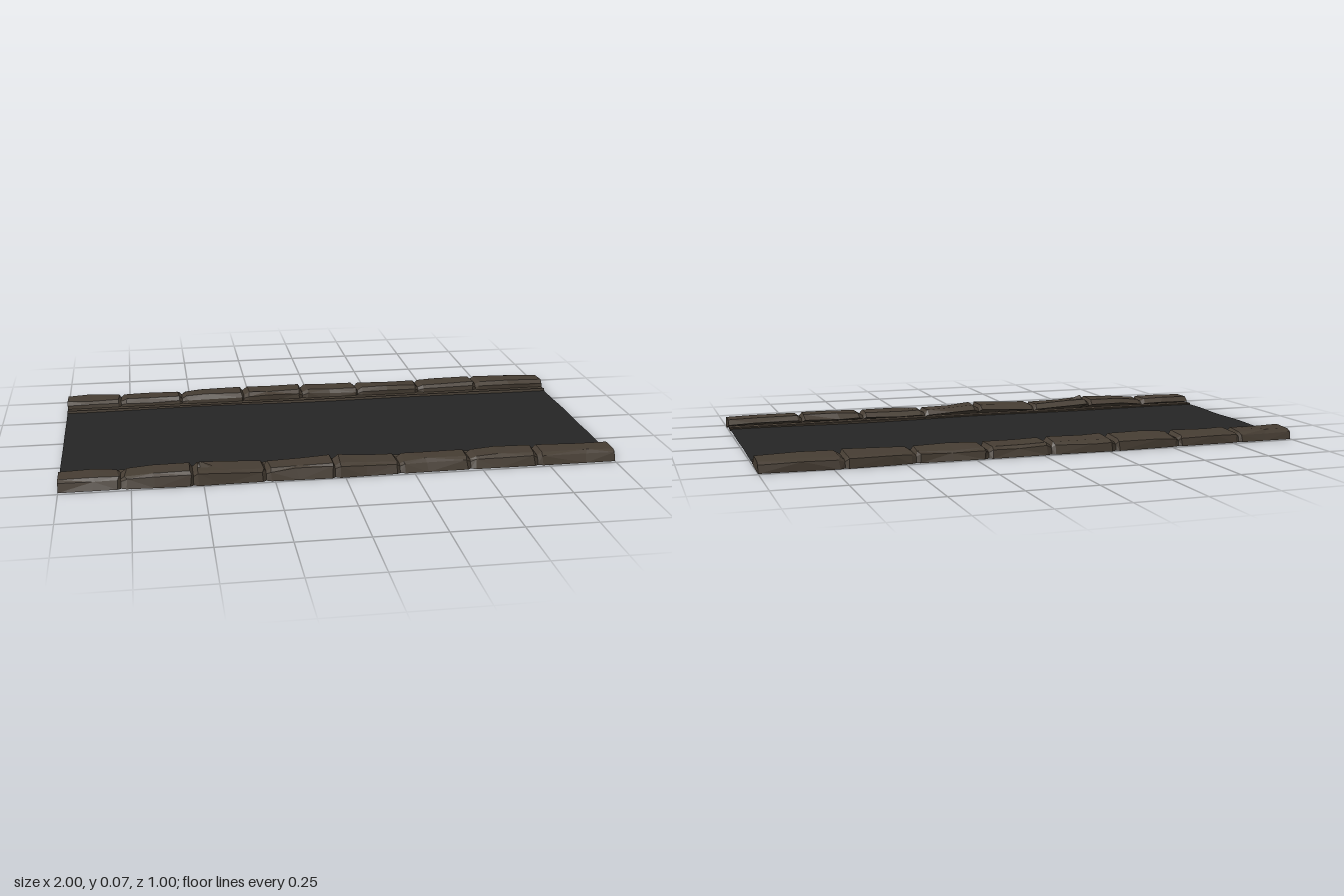
import * as THREE from 'three';

// Small seeded random generator, range -1..1
function seeded(seed) {
  let s = seed;
  return () => {
    s = (s * 16807) % 2147483647;
    return (s / 2147483647) * 2 - 1;
  };
}

// Joins cross-sections (arrays of [x, y, z]) running along +x into a closed, faceted solid
function loft(sections) {
  const pos = [];
  const tri = (a, b, c) => pos.push(...a, ...b, ...c);
  const n = sections[0].length;
  for (let i = 0; i < sections.length - 1; i++) {
    const A = sections[i], B = sections[i + 1];
    for (let j = 0; j < n; j++) {
      const k = (j + 1) % n;
      if ((i + j) % 2) {
        tri(A[j], B[j], A[k]);
        tri(B[j], B[k], A[k]);
      } else {
        tri(A[j], B[j], B[k]);
        tri(A[j], B[k], A[k]);
      }
    }
  }
  const first = sections[0], last = sections[sections.length - 1];
  for (let j = 1; j < n - 1; j++) {
    tri(first[0], first[j], first[j + 1]);
    tri(last[0], last[j + 1], last[j]);
  }
  const g = new THREE.BufferGeometry();
  g.setAttribute('position', new THREE.Float32BufferAttribute(pos, 3));
  g.computeVertexNormals();
  return g;
}

export function createModel() {
  const group = new THREE.Group();
  const stone = new THREE.MeshStandardMaterial({ color: 0x463d33, flatShading: true, side: THREE.DoubleSide });
  stone.name = 'brown stone';
  const asphalt = new THREE.MeshStandardMaterial({ color: 0x252525, side: THREE.DoubleSide });
  asphalt.name = 'dark asphalt';

  // Gently uneven road surface
  const road = new THREE.PlaneGeometry(2, 0.69, 24, 14);
  road.rotateX(-Math.PI / 2);
  const p = road.attributes.position;
  for (let i = 0; i < p.count; i++) {
    const x = p.getX(i), z = p.getZ(i);
    p.setY(i, 0.02 + 0.0015 * Math.sin(x * 7 + z * 5) + 0.0015 * Math.sin(z * 19 - x * 3));
  }
  road.computeVertexNormals();
  const roadMesh = new THREE.Mesh(road, asphalt);
  roadMesh.name = 'roadSurface';
  group.add(roadMesh);

  // Curb stones; profiles are [z, y], ordered so that faces point outwards
  const joints = [-1, -0.785, -0.535, -0.28, -0.035, 0.2, 0.46, 0.71, 1];
  const curbs = [
    {
      name: 'front', seed: 41,
      profile: [[0.487, 0.01], [0.478, 0.042], [0.464, 0.05], [0.39, 0.05], [0.368, 0.031], [0.45, 0.01]],
      // Outward bulge and extra height at each joint
      bulge: [0, 0, 0.01, 0.004, 0.01, 0.003, 0, 0.002, 0],
      lift: [0, 0, 0.01, 0, 0.01, 0, 0.002, 0.004, 0],
    },
    {
      name: 'back', seed: 77,
      profile: [[-0.367, 0.013], [-0.369, 0.038], [-0.385, 0.052], [-0.465, 0.047], [-0.482, 0.038], [-0.487, 0.01]],
      bulge: [0, 0, 0.001, 0.012, 0.004, 0.006, 0, 0.016, 0],
      lift: [0, 0, 0, 0.004, 0.006, 0, 0.002, 0.004, 0],
    },
  ];
  for (const curb of curbs) {
    const rnd = seeded(curb.seed);
    const side = Math.sign(curb.profile[0][0]);
    const curbGroup = new THREE.Group();
    curbGroup.name = curb.name + 'Curb';

    const section = (x, t, i, shrink, jitter) => {
      const bulge = THREE.MathUtils.lerp(curb.bulge[i], curb.bulge[i + 1], t);
      const lift = THREE.MathUtils.lerp(curb.lift[i], curb.lift[i + 1], t);
      return curb.profile.map(([z, y]) => {
        const outer = Math.abs(z) > 0.44 ? 1 : 0;
        const top = y > 0.03 ? 1 : 0;
        const zz = z + side * outer * bulge + jitter * rnd() * 0.006 * top;
        const yy = y + top * lift + jitter * rnd() * 0.004 * top;
        return [
          x + jitter * rnd() * 0.012 * top,
          0.01 + (yy - 0.01) * shrink,
          side * 0.43 + (zz - side * 0.43) * (0.5 + 0.5 * shrink),
        ];
      });
    };

    for (let i = 0; i < joints.length - 1; i++) {
      const a = joints[i], b = joints[i + 1], len = b - a;
      const rows = [];
      // Pinched ends form the joints; the two road ends stay square
      if (i > 0) rows.push(section(a, 0, i, 0.7, 0));
      rows.push(section(i > 0 ? a + 0.018 : a, 0.05, i, 1, i > 0 ? 0.5 : 0));
      rows.push(section(a + len * (0.48 + 0.15 * rnd()), 0.5, i, 1, 1));
      const end = i === joints.length - 2;
      rows.push(section(end ? b : b - 0.012, 0.95, i, 1, end ? 0 : 0.5));
      if (!end) rows.push(section(b, 1, i, 0.7, 0));
      const mesh = new THREE.Mesh(loft(rows), stone);
      mesh.name = curb.name + 'CurbStone' + (i + 1);
      curbGroup.add(mesh);
    }
    group.add(curbGroup);
  }

  // Chipped peak standing on one front stone
  const chip = loft([
    [[-0.525, 0.04, 0.46], [-0.525, 0.05, 0.44], [-0.525, 0.04, 0.4]],
    [[-0.51, 0.045, 0.465], [-0.51, 0.075, 0.425], [-0.51, 0.045, 0.395]],
    [[-0.45, 0.045, 0.45], [-0.45, 0.052, 0.43], [-0.45, 0.045, 0.41]],
  ]);
  const chipMesh = new THREE.Mesh(chip, stone);
  chipMesh.name = 'chippedPeak';
  group.add(chipMesh);

  // Flat gutter strips with a small raised lip beside the road
  const gutters = {
    frontGutter: [[0.385, 0.026], [0.362, 0.024], [0.345, 0.028], [0.338, 0.025], [0.339, 0.014], [0.365, 0.019]],
    backGutter: [[-0.328, 0.013], [-0.331, 0.029], [-0.34, 0.026], [-0.352, 0.024], [-0.385, 0.024], [-0.36, 0.018]],
  };
  for (const [name, profile] of Object.entries(gutters)) {
    const mesh = new THREE.Mesh(loft([-1, 1].map(x => profile.map(([z, y]) => [x, y, z]))), stone);
    mesh.name = name;
    group.add(mesh);
  }
  return group;
}
